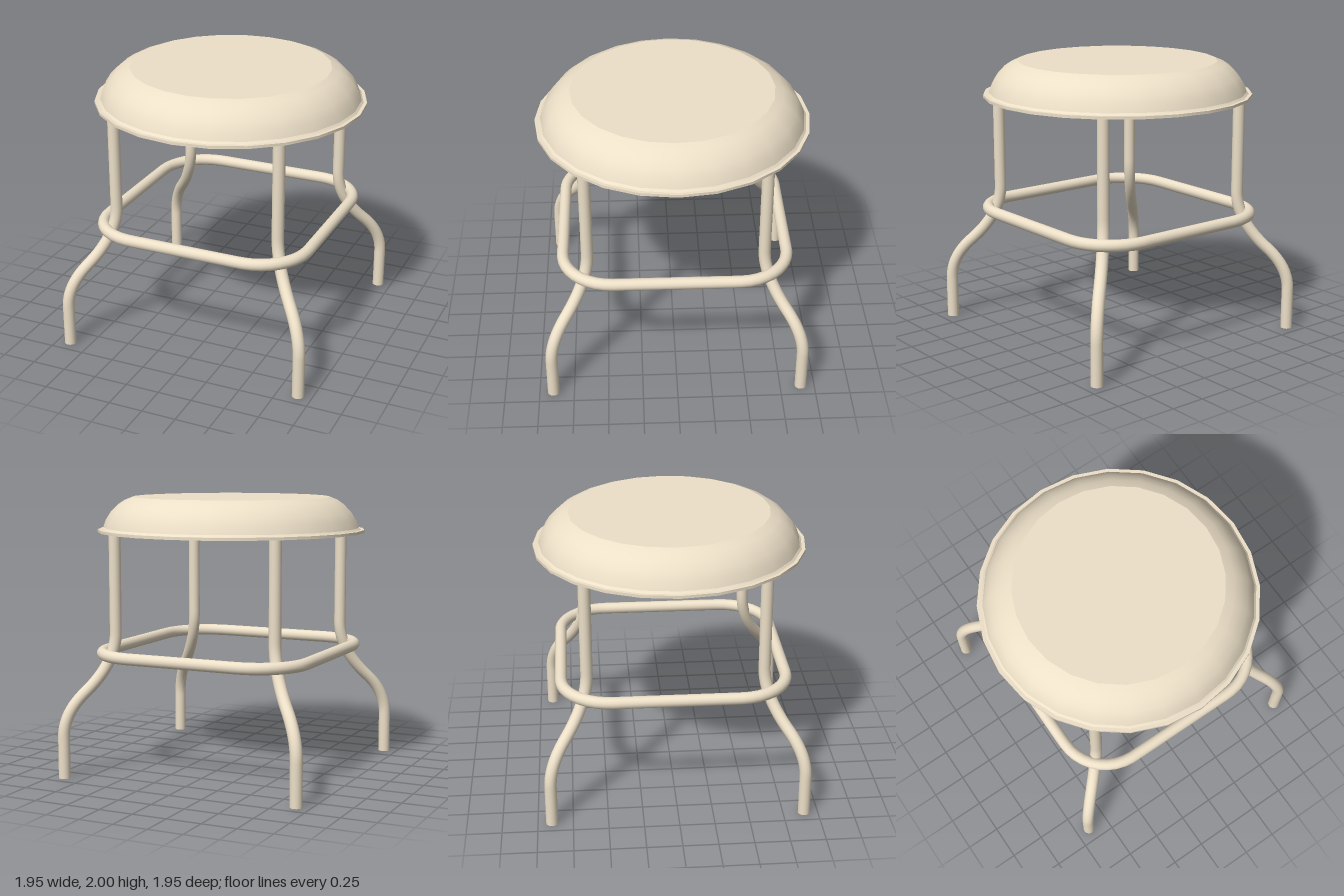
import * as THREE from 'three';
import { toCreasedNormals } from 'three/addons/utils/BufferGeometryUtils.js';

const TUBE = 0.043;

export function createModel() {
  const stool = new THREE.Group();
  stool.name = 'stool';
  const paint = new THREE.MeshStandardMaterial({ color: 0xede0c8 });
  const openPaint = paint.clone();
  openPaint.side = THREE.DoubleSide;

  const add = (name, geometry, material = paint) => {
    const mesh = new THREE.Mesh(geometry, material);
    mesh.name = name;
    stool.add(mesh);
    return mesh;
  };

  // Seat: flat underside, thin lip, rounded shoulder and flat top
  const profile = [
    [0, 1.745], [0.975, 1.745], [0.975, 1.765], [0.95, 1.765], [0.935, 1.78],
    [0.915, 1.835], [0.88, 1.89], [0.83, 1.942], [0.78, 1.976], [0.72, 2], [0, 2],
  ].map(([r, y]) => new THREE.Vector2(r, y));
  add('seat', toCreasedNormals(new THREE.LatheGeometry(profile, 24), 0.36));

  // Legs: straight tube with an outward S-bend, open at the foot
  const names = ['frontLeftLeg', 'frontRightLeg', 'backLeftLeg', 'backRightLeg'];
  names.forEach((name, i) => {
    const sx = i % 2 ? -1 : 1;
    const sz = i < 2 ? 1 : -1;
    const at = (d, y) => new THREE.Vector3(sx * d, y, sz * d);
    const path = new THREE.CurvePath();
    path.add(new THREE.LineCurve3(at(0.623, 1.75), at(0.623, 1.04)));
    path.add(new THREE.QuadraticBezierCurve3(at(0.623, 1.04), at(0.623, 0.82), at(0.785, 0.615)));
    path.add(new THREE.QuadraticBezierCurve3(at(0.785, 0.615), at(0.9, 0.47), at(0.9, 0.3)));
    path.add(new THREE.LineCurve3(at(0.9, 0.3), at(0.9, 0)));
    add(name, new THREE.TubeGeometry(path, 56, TUBE, 16), openPaint);
  });

  // Foot ring: rounded square wrapped around the legs
  const hx = 0.781, hz = 0.805, r = 0.36;
  const outline = new THREE.Shape();
  outline.absarc(hx - r, hz - r, r, 0, Math.PI / 2);
  outline.absarc(r - hx, hz - r, r, Math.PI / 2, Math.PI);
  outline.absarc(r - hx, r - hz, r, Math.PI, Math.PI * 1.5);
  outline.absarc(hx - r, r - hz, r, Math.PI * 1.5, Math.PI * 2);
  outline.closePath();
  const loop = outline.getSpacedPoints(72).slice(0, -1)
    .map((p) => new THREE.Vector3(p.x, 0.883, p.y));
  const ringPath = new THREE.CatmullRomCurve3(loop, true);
  add('footRing', new THREE.TubeGeometry(ringPath, 96, TUBE, 16, true));

  return stool;
}
